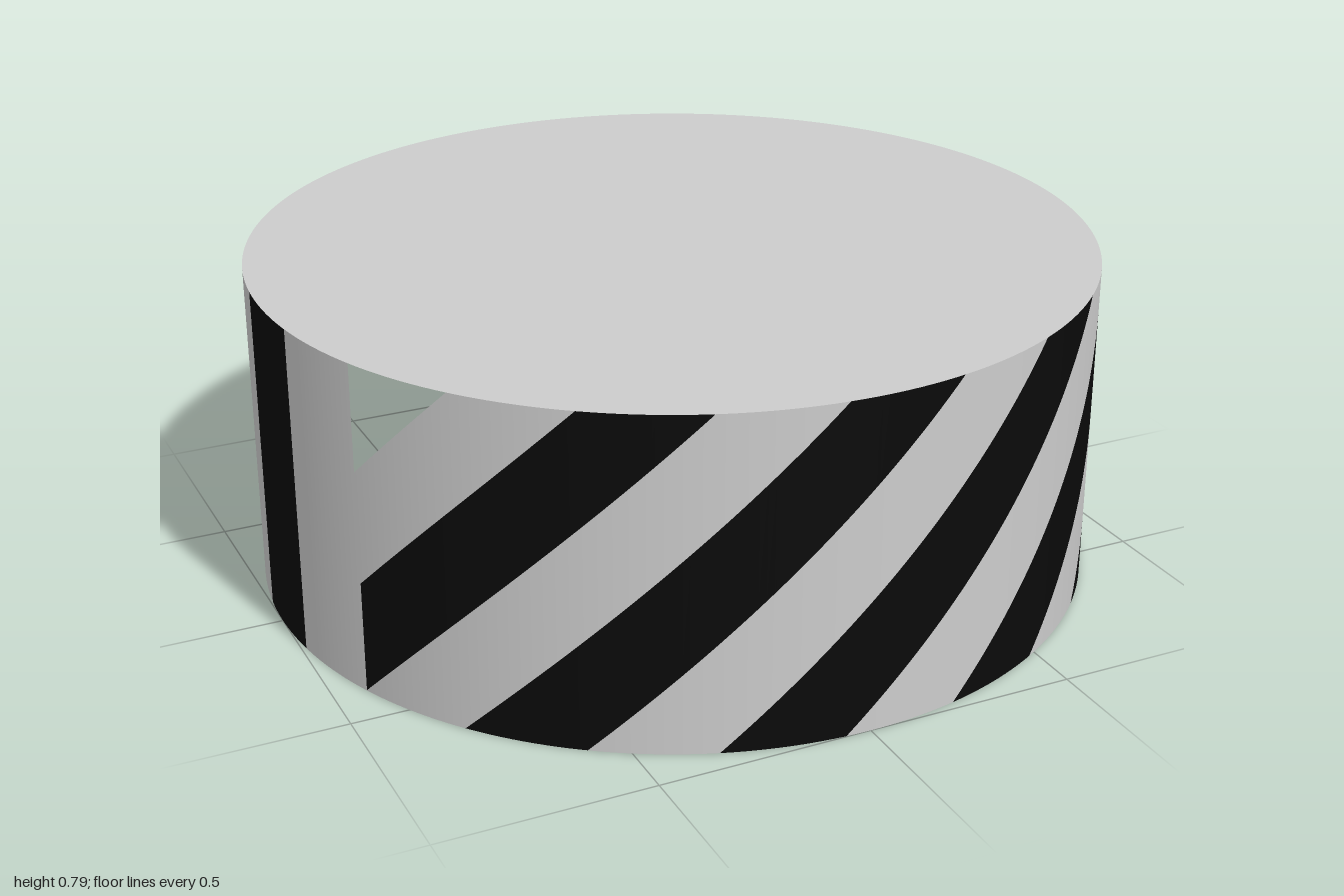
import * as THREE from 'three';

const RADIUS = 1, HEIGHT = 0.785;
const light = new THREE.MeshStandardMaterial({ color: 0xcccccc });
light.name = 'lightGrey';
const dark = new THREE.MeshStandardMaterial({ color: 0x0a0a0a });
dark.name = 'black';

const clampY = y => Math.min(HEIGHT, Math.max(0, y));

// Curved piece of side wall between two angles (degrees from +z towards +x),
// with lower and upper edges given as functions of the angle.
function wallPatch(name, material, from, to, low, high, breaks = []) {
  const angles = [from, to, ...breaks.filter(b => b > from && b < to)];
  for (let a = Math.floor(from) + 1; a < to; a++) angles.push(a);
  angles.sort((a, b) => a - b);
  const pos = [], nor = [], idx = [];
  angles.forEach((a, i) => {
    const t = THREE.MathUtils.degToRad(a), x = Math.sin(t), z = Math.cos(t);
    for (const y of [low(a), high(a)]) {
      pos.push(x * RADIUS, y, z * RADIUS);
      nor.push(x, 0, z);
    }
    if (i > 0) {
      const n = 2 * i;
      idx.push(n - 2, n, n + 1, n - 2, n + 1, n - 1);
    }
  });
  const geo = new THREE.BufferGeometry();
  geo.setAttribute('position', new THREE.Float32BufferAttribute(pos, 3));
  geo.setAttribute('normal', new THREE.Float32BufferAttribute(nor, 3));
  geo.setIndex(idx);
  const mesh = new THREE.Mesh(geo, material);
  mesh.name = name;
  return mesh;
}

export function createModel() {
  const model = new THREE.Group();
  model.name = 'stripedDrum';

  // Flat end faces
  for (const top of [true, false]) {
    const cap = new THREE.Mesh(new THREE.CircleGeometry(RADIUS, 360), light);
    cap.name = top ? 'topFace' : 'bottomFace';
    cap.rotation.x = top ? -Math.PI / 2 : Math.PI / 2;
    cap.position.y = top ? HEIGHT : 0;
    model.add(cap);
  }

  // Horizontal band section: three equal rows
  const row = HEIGHT / 3;
  for (let i = 0; i < 3; i++) {
    model.add(wallPatch('horizontalBand', i === 1 ? dark : light, 60, 180,
      () => i * row, () => (i + 1) * row));
  }

  // Vertical stripe section: eight equal columns
  const column = 112.5 / 8;
  for (let i = 0; i < 8; i++) {
    model.add(wallPatch('verticalStripe', i % 2 ? light : dark,
      180 + i * column, 180 + (i + 1) * column, () => 0, () => HEIGHT));
  }

  // Diagonal stripe section: slanted bands clipped to the section
  const start = -67.5, end = 60, width = 16.05, lean = 47.3;
  const slope = HEIGHT / lean;
  for (let k = -5; k < 7; k++) {
    const edge = -19.4 + k * width;
    const from = Math.max(start, edge), to = Math.min(end, edge + width + lean);
    if (to <= from) continue;
    model.add(wallPatch('diagonalStripe', k % 2 ? light : dark, from, to,
      a => clampY((a - edge - width) * slope),
      a => clampY((a - edge) * slope),
      [edge + width, edge + lean]));
  }
  return model;
}
